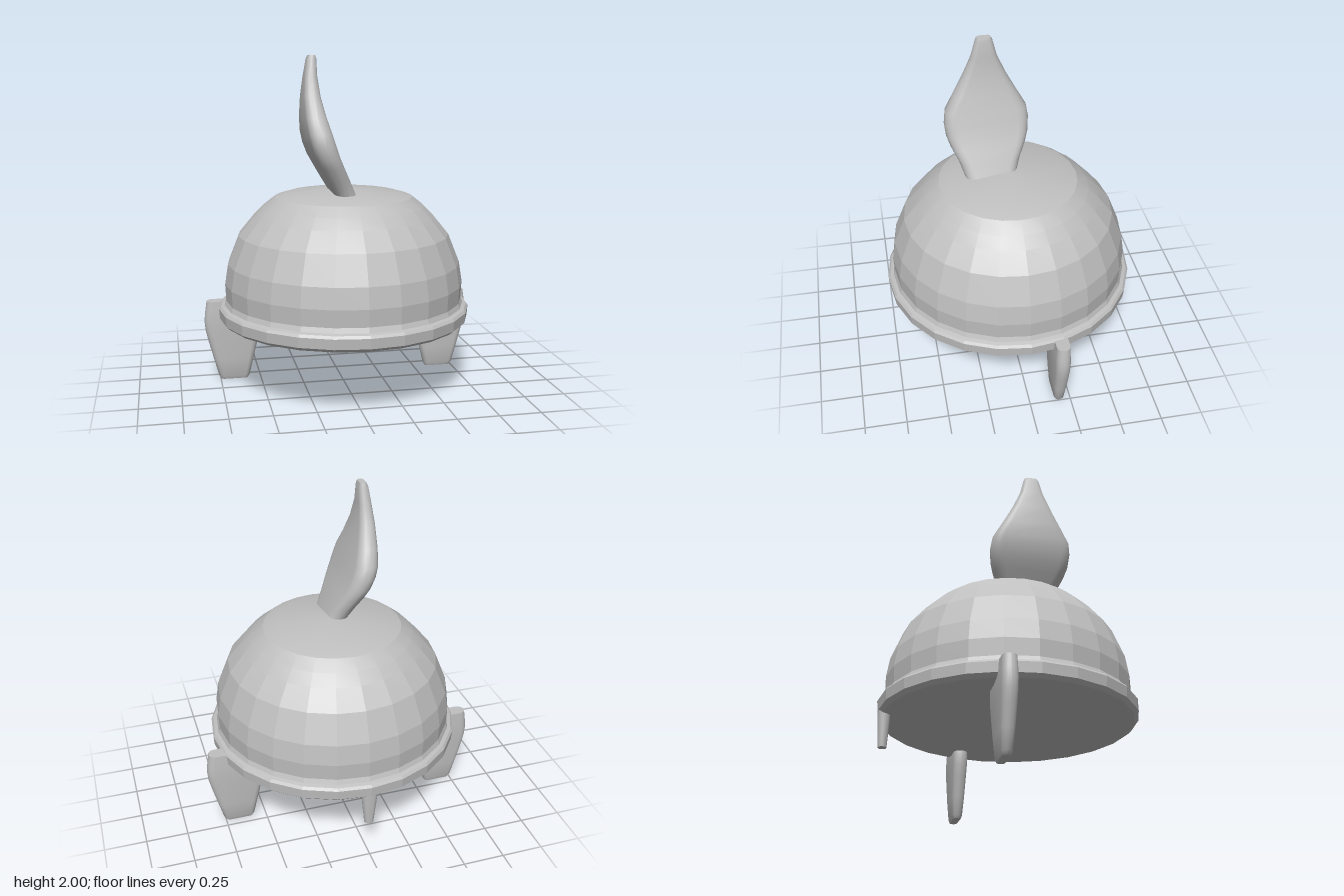
import * as THREE from 'three';
import { toCreasedNormals } from 'three/addons/utils/BufferGeometryUtils.js';

// Closed loft through round-cornered cross-sections [y, xMin, xMax, zMin, zMax], bottom to top
function loft(sections) {
  const pos = [], idx = [], q = 4, n = 4 * (q + 1);
  for (const [y, x0, x1, z0, z1] of sections) {
    const a = (x1 - x0) / 2, b = (z1 - z0) / 2, r = Math.min(a, b) * 0.95;
    for (let k = 0; k < 4; k++) {
      const sx = k === 0 || k === 3 ? 1 : -1, sz = k < 2 ? 1 : -1;
      for (let i = 0; i <= q; i++) {
        const t = (k + i / q) * Math.PI / 2;
        pos.push((x0 + x1) / 2 + sx * (a - r) + r * Math.cos(t), y,
          (z0 + z1) / 2 + sz * (b - r) + r * Math.sin(t));
      }
    }
  }
  const rows = sections.length;
  for (let s = 0; s < rows - 1; s++) {
    for (let i = 0; i < n; i++) {
      const j = (i + 1) % n, a = s * n + i, b = s * n + j;
      idx.push(a, a + n, b, b, a + n, b + n);
    }
  }
  const top = (rows - 1) * n;
  for (let i = 1; i < n - 1; i++) {
    idx.push(0, i, i + 1, top, top + i + 1, top + i);
  }
  const geo = new THREE.BufferGeometry();
  geo.setAttribute('position', new THREE.Float32BufferAttribute(pos, 3));
  geo.setIndex(idx);
  return toCreasedNormals(geo, 0.7);
}

export function createModel() {
  const model = new THREE.Group();
  const grey = new THREE.MeshStandardMaterial({ color: 0xbfbfbf });
  grey.name = 'grey';
  const add = (name, geo) => {
    const mesh = new THREE.Mesh(geo, grey);
    mesh.name = name;
    model.add(mesh);
  };

  // Faceted dome with its rolled rim and flat underside
  const profile = [
    [0, 0.405], [0.66, 0.405], [0.735, 0.42], [0.757, 0.44], [0.762, 0.5],
    [0.75, 0.515], [0.728, 0.522], [0.717, 0.55], [0.722, 0.65], [0.703, 0.77],
    [0.635, 0.94], [0.545, 1.05], [0.485, 1.11], [0.415, 1.165], [0.34, 1.187], [0, 1.225],
  ].map(([r, y]) => new THREE.Vector2(r, y));
  add('dome', toCreasedNormals(new THREE.LatheGeometry(profile, 24), 0.2));

  // Curved leaf-shaped fin on top: y, xMin, xMax, half width in z
  const fin = [
    [1.14, -0.05, 0.065, 0.14], [1.2, -0.088, 0.035, 0.153], [1.28, -0.135, -0.002, 0.182],
    [1.36, -0.178, -0.042, 0.222], [1.42, -0.21, -0.07, 0.243], [1.49, -0.236, -0.095, 0.25],
    [1.56, -0.252, -0.117, 0.24], [1.65, -0.262, -0.142, 0.188], [1.77, -0.263, -0.168, 0.123],
    [1.88, -0.253, -0.18, 0.075], [1.98, -0.237, -0.182, 0.05], [2, -0.228, -0.188, 0.042],
  ];
  add('topFin', loft(fin.map(([y, x0, x1, w]) => [y, x0, x1, 0.1 - w, 0.1 + w])));

  // Tapered side feet: y, inner x, outer x, half thickness in z
  const foot = [
    [0, 0.58, 0.745, 0.022], [0.02, 0.568, 0.76, 0.03], [0.13, 0.542, 0.79, 0.037],
    [0.25, 0.512, 0.822, 0.041], [0.32, 0.496, 0.838, 0.043], [0.38, 0.49, 0.843, 0.044],
    [0.43, 0.495, 0.838, 0.043], [0.505, 0.52, 0.827, 0.04],
  ];
  add('leftFoot', loft(foot.map(([y, i, o, t]) => [y, i, o, -0.18 - t, -0.18 + t])));
  add('rightFoot', loft(foot.map(([y, i, o, t]) => [y, -o, -i, -0.18 - t, -0.18 + t])));

  // Small peg at the back
  add('backPeg', loft([
    [0.228, -0.027, 0.027, -0.743, -0.695],
    [0.405, -0.045, 0.045, -0.754, -0.685],
    [0.505, -0.05, 0.05, -0.757, -0.68],
  ]));

  return model;
}
